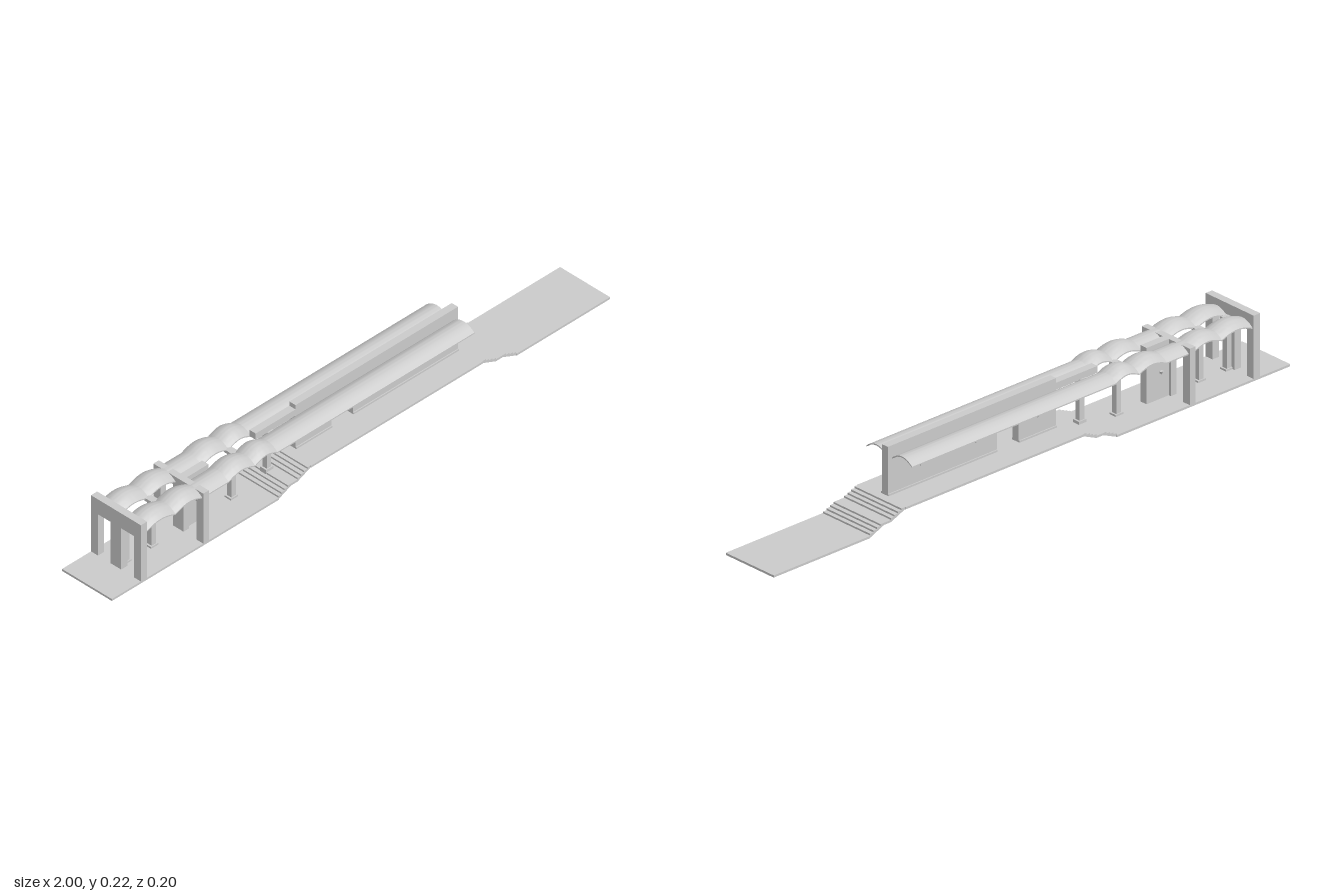
import * as THREE from 'three';
import { toCreasedNormals } from 'three/addons/utils/BufferGeometryUtils.js';

const material = new THREE.MeshStandardMaterial({ color: 0xcccccc, side: THREE.DoubleSide });

export function createModel() {
  const group = new THREE.Group();

  function add(geometry, name) {
    const mesh = new THREE.Mesh(geometry, material);
    mesh.name = name;
    group.add(mesh);
    return mesh;
  }

  // Box given by its limits on each axis
  function box(name, x0, x1, y0, y1, z0, z1) {
    const mesh = add(new THREE.BoxGeometry(x1 - x0, y1 - y0, z1 - z0), name);
    mesh.position.set((x0 + x1) / 2, (y0 + y1) / 2, (z0 + z1) / 2);
    return mesh;
  }

  // Outline in x and y, extruded evenly about z = 0
  function slab(name, shape, depth) {
    const geometry = new THREE.ExtrudeGeometry(shape, { depth, bevelEnabled: false, curveSegments: 16 });
    geometry.translate(0, 0, -depth / 2);
    return add(geometry, name);
  }

  // Ground and raised platform
  const LOW = 0.015, HIGH = 0.06, THICK = 0.007;
  box('lowerFloor', -1, -0.33, LOW - THICK, LOW, -0.1, 0.1);
  box('platform', -0.2, 0.49, HIGH - THICK, HIGH, -0.1, 0.1);
  box('farFloor', 0.625, 1, LOW - THICK, LOW, -0.1, 0.1);

  // Stair with a short landing halfway; xLow is its foot and xHigh its top
  function stairs(name, xLow, xHigh) {
    const at = t => xLow + (xHigh - xLow) * t;
    const rise = (HIGH - LOW) / 8;
    const shape = new THREE.Shape();
    shape.moveTo(at(0), LOW - THICK);
    let y = LOW;
    for (let i = 0; i < 8; i++) {
      const start = i < 4 ? i * 0.1 : 0.6 + (i - 4) * 0.1;
      const end = i === 3 ? 0.6 : start + 0.1;
      shape.lineTo(at(start), y);
      y += rise;
      shape.lineTo(at(start), y);
      shape.lineTo(at(end), y);
    }
    shape.lineTo(at(1), HIGH - THICK);
    shape.lineTo(at(0.6), LOW + 4 * rise - THICK);
    shape.lineTo(at(0.4), LOW + 4 * rise - THICK);
    slab(name, shape, 0.196);
  }
  stairs('entranceStairs', -0.33, -0.2);
  stairs('exitStairs', 0.625, 0.49);

  // Gates with two tall openings
  function gate(name, x, width, top) {
    const shape = new THREE.Shape();
    const outline = [[-0.1, LOW], [-0.072, LOW], [-0.072, 0.162], [-0.021, 0.162], [-0.021, LOW], [0.021, LOW],
      [0.021, 0.162], [0.072, 0.162], [0.072, LOW], [0.1, LOW], [0.1, top], [-0.1, top]];
    shape.setFromPoints(outline.map(p => new THREE.Vector2(...p)));
    const mesh = slab(name, shape, width);
    mesh.rotation.y = Math.PI / 2;
    mesh.position.x = x;
  }
  gate('endGate', -0.871, 0.025, 0.215);
  gate('middleGate', -0.622, 0.022, 0.193);

  // Long wall with an arched doorway
  const wall = new THREE.Shape();
  wall.moveTo(-0.175, HIGH);
  wall.lineTo(-0.03, HIGH);
  wall.lineTo(-0.03, 0.113);
  wall.absarc(0.0125, 0.113, 0.0425, Math.PI, 0, true);
  wall.lineTo(0.055, HIGH);
  wall.lineTo(0.477, HIGH);
  wall.lineTo(0.477, 0.215);
  wall.lineTo(-0.175, 0.215);
  slab('longWall', wall, 0.025);
  box('wallBase', -0.175, -0.03, HIGH, 0.066, -0.016, 0.016);
  box('wallBase', 0.055, 0.477, HIGH, 0.066, -0.016, 0.016);

  // Short wall and centre beams
  box('shortWall', -0.611, -0.525, LOW, 0.178, -0.0125, 0.0125);
  box('shortBeam', -0.611, -0.525, 0.178, 0.193, -0.0125, 0.0125);
  box('centreBeam', -0.335, -0.175, 0.178, 0.2, -0.0125, 0.0125);

  // Columns with a footing and a bracketed head
  for (const [x, foot] of [[-0.848, 0], [-0.74, 0], [-0.42, 0], [-0.278, 0.026]]) {
    box('columnFoot', x - 0.015, x + 0.015, foot, foot + 0.021, -0.0125, 0.0125);
    box('columnShaft', x - 0.009, x + 0.009, foot + 0.021, 0.178, -0.009, 0.009);
    box('columnHead', x - 0.012, x + 0.012, 0.17, 0.18, -0.018, 0.018);
  }

  // Roof vault: an arched strip swept along x, lifted by a rule
  const ARC = 14;
  function vault(name, x0, x1, steps, lift, side) {
    const positions = [], index = [];
    const ring = 2 * (ARC + 1);
    for (let i = 0; i <= steps; i++) {
      const t = i / steps;
      for (let j = 0; j < ring; j++) {
        const upper = j <= ARC;
        const u = 2 * (upper ? j : ring - 1 - j) / ARC - 1;
        const y = 0.174 + 0.018 * (1 - u * u) + lift * Math.sin(Math.PI * t) + (upper ? 0.002 : -0.002);
        positions.push(x0 + (x1 - x0) * t, y, side * (0.0535 + 0.0415 * u));
      }
    }
    const face = (a, b, c) => side > 0 ? index.push(a, b, c) : index.push(a, c, b);
    for (let i = 0; i < steps; i++) {
      for (let j = 0; j < ring; j++) {
        const a = i * ring + j, b = i * ring + (j + 1) % ring;
        face(a, b, a + ring);
        face(b, b + ring, a + ring);
      }
    }
    // End caps
    const last = steps * ring;
    for (let j = 0; j < ARC; j++) {
      const k = ring - 1 - j;
      face(j, k, j + 1);
      face(j + 1, k, k - 1);
      face(last + j, last + j + 1, last + k);
      face(last + j + 1, last + k - 1, last + k);
    }
    const geometry = new THREE.BufferGeometry();
    geometry.setAttribute('position', new THREE.Float32BufferAttribute(positions, 3));
    geometry.setIndex(index);
    add(toCreasedNormals(geometry, 0.6), name);
  }

  // Small lamps on the walls
  function lamp(x, y, side) {
    const shade = add(new THREE.ConeGeometry(0.006, 0.012, 10), 'lampShade');
    shade.rotation.x = Math.PI;
    shade.position.set(x, y, side * 0.017);
    box('lampArm', x - 0.002, x + 0.002, y - 0.002, y + 0.004, side * 0.0145 - 0.0025, side * 0.0145 + 0.0025);
  }

  for (const side of [1, -1]) {
    for (const [x0, x1] of [[-0.858, -0.74], [-0.74, -0.63], [-0.527, -0.42], [-0.42, -0.33]]) {
      vault('domedVault', x0, x1, 14, 0.014, side);
    }
    vault('linkVault', -0.63, -0.527, 1, 0, side);
    vault('longVault', -0.33, 0.46, 1, 0, side);
    for (const x of [-0.1, 0.14, 0.355]) lamp(x, 0.122, side);
    lamp(-0.578, 0.098, side);
  }
  return group;
}
